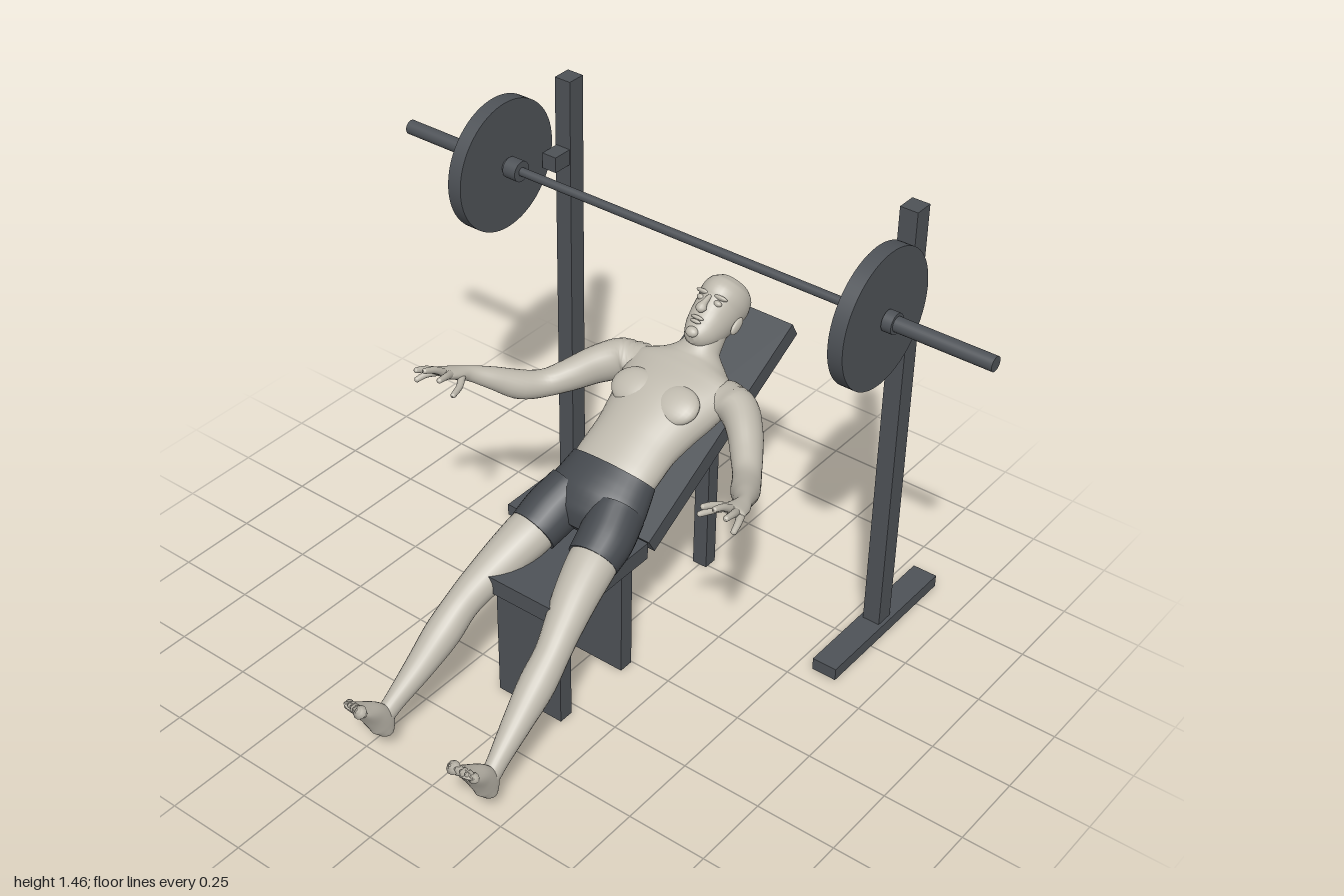
import * as THREE from 'three';

const V = (x, y, z) => new THREE.Vector3(x, y, z);
const mat = (name, color) => Object.assign(new THREE.MeshStandardMaterial({ color }), { name });

// Smooth body through sections [x, y, z, halfWidth, halfDepth], closed at both ends
function loft(sections, steps = 5, sides = 24) {
  const path = new THREE.CatmullRomCurve3(sections.map(s => V(s[0], s[1], s[2])));
  const size = new THREE.CatmullRomCurve3(sections.map(s => V(s[3], s[4], 0)));
  const rows = (sections.length - 1) * steps;
  const pos = [], idx = [];
  const ring = (u) => {
    const c = path.getPoint(u), r = size.getPoint(u), t = path.getTangent(u);
    const s = V(1, 0, 0).addScaledVector(t, -t.x).normalize();
    const n = t.clone().cross(s);
    for (let j = 0; j < sides; j++) {
      const a = j / sides * Math.PI * 2;
      const p = c.clone().addScaledVector(s, Math.cos(a) * r.x).addScaledVector(n, Math.sin(a) * r.y);
      pos.push(p.x, p.y, p.z);
    }
    return c;
  };
  for (let i = 0; i <= rows; i++) ring(i / rows);
  for (let i = 0; i < rows; i++) {
    for (let j = 0; j < sides; j++) {
      const a = i * sides + j, b = i * sides + (j + 1) % sides;
      idx.push(a, b, b + sides, a, b + sides, a + sides);
    }
  }
  for (const end of [0, 1]) {
    const base = pos.length / 3, c = ring(end);
    pos.push(c.x, c.y, c.z);
    for (let j = 0; j < sides; j++) {
      const a = base + j, b = base + (j + 1) % sides, m = base + sides;
      if (end) idx.push(m, a, b); else idx.push(m, b, a);
    }
  }
  const g = new THREE.BufferGeometry();
  g.setAttribute('position', new THREE.Float32BufferAttribute(pos, 3));
  g.setIndex(idx);
  g.computeVertexNormals();
  return g;
}

export function createModel() {
  const model = new THREE.Group();
  model.name = 'benchPressScene';
  const steel = mat('darkSteel', 0x4e5257);
  const cloth = mat('shortsCloth', 0x45494e);
  const skin = mat('skin', 0xbfbaae);

  const add = (parent, name, geo, material, x = 0, y = 0, z = 0) => {
    const m = new THREE.Mesh(geo, material);
    m.name = name;
    m.position.set(x, y, z);
    parent.add(m);
    return m;
  };
  const group = (name) => {
    const g = new THREE.Group();
    g.name = name;
    model.add(g);
    return g;
  };
  const box = (p, name, w, h, d, x, y, z) => add(p, name, new THREE.BoxGeometry(w, h, d), steel, x, y, z);
  const ball = (p, name, x, y, z, sx, sy, sz) => {
    const m = add(p, name, new THREE.SphereGeometry(1, 24, 16), skin, x, y, z);
    m.scale.set(sx, sy, sz);
    return m;
  };

  // Bench
  const bench = group('bench');
  box(bench, 'seat', 0.29, 0.055, 0.395, 0, 0.417, 0.167);
  box(bench, 'frontLegPanel', 0.23, 0.39, 0.048, 0, 0.195, 0.305);
  box(bench, 'rearLegPanel', 0.23, 0.39, 0.048, 0, 0.195, 0.027);
  box(bench, 'backrest', 0.29, 0.055, 0.785, 0, 0.616, -0.389).rotation.x = Math.PI / 6;
  box(bench, 'backrestPost', 0.05, 0.66, 0.046, 0, 0.33, -0.512);

  // Rack and barbell
  const rack = group('rack'), barbell = group('barbell');
  barbell.position.set(0, 1.257, -0.345);
  const rod = (name, r, len, x, sides = 32) => {
    const g = new THREE.CylinderGeometry(r, r, len, sides);
    g.rotateZ(Math.PI / 2);
    return add(barbell, name, g, steel, x);
  };
  rod('bar', 0.013, 1.2, 0);
  for (const s of [-1, 1]) {
    box(rack, 'upright', 0.056, 1.42, 0.06, s * 0.589, 0.75, -0.585);
    box(rack, 'foot', 0.08, 0.04, 0.55, s * 0.589, 0.02, -0.583);
    box(rack, 'hook', 0.05, 0.05, 0.065, s * 0.589, 1.215, -0.523);
    rod('sleeve', 0.022, 0.41, s * 0.795);
    rod('innerCollar', 0.032, 0.045, s * 0.592);
    rod('plate', 0.203, 0.046, s * 0.648, 64);
    rod('outerCollar', 0.031, 0.03, s * 0.69);
  }

  // Torso
  const man = group('recliningFigure');
  add(man, 'torso', loft([
    [0, 0.6, -0.02, 0.13, 0.07], [0, 0.625, -0.07, 0.138, 0.076], [0, 0.665, -0.15, 0.138, 0.081],
    [0, 0.7, -0.23, 0.152, 0.089], [0, 0.73, -0.3, 0.172, 0.092], [0, 0.768, -0.385, 0.19, 0.077],
    [0, 0.795, -0.43, 0.115, 0.064], [0, 0.83, -0.462, 0.06, 0.056], [0, 0.875, -0.505, 0.054, 0.055],
    [0, 0.9, -0.53, 0.05, 0.05]], 6, 36), skin);

  // Head
  const head = new THREE.Group();
  head.name = 'head';
  head.position.set(0, 0.905, -0.53);
  head.rotation.x = -50 * Math.PI / 180;
  man.add(head);
  add(head, 'skull', loft([
    [0, -0.108, 0.06, 0.012, 0.012], [0, -0.1, 0.055, 0.03, 0.03], [0, -0.07, 0.034, 0.052, 0.058],
    [0, -0.035, 0.016, 0.062, 0.076], [0, 0.015, 0, 0.068, 0.088], [0, 0.05, -0.005, 0.073, 0.094],
    [0, 0.085, -0.01, 0.066, 0.082], [0, 0.106, -0.012, 0.045, 0.056], [0, 0.115, -0.013, 0.008, 0.01]], 5, 32), skin);
  add(head, 'nose', loft([[0, 0.028, 0.084, 0.006, 0.006], [0, 0, 0.093, 0.01, 0.011],
    [0, -0.018, 0.096, 0.017, 0.015], [0, -0.028, 0.09, 0.008, 0.008]], 4, 16), skin);
  ball(head, 'upperLip', 0, -0.046, 0.088, 0.022, 0.006, 0.008);
  ball(head, 'lowerLip', 0, -0.058, 0.086, 0.018, 0.006, 0.008);
  ball(head, 'chin', 0, -0.088, 0.076, 0.02, 0.016, 0.014);
  for (const s of [-1, 1]) {
    ball(head, 'brow', s * 0.03, 0.034, 0.076, 0.024, 0.007, 0.012);
    ball(head, 'eye', s * 0.029, 0.016, 0.074, 0.014, 0.009, 0.01);
    ball(head, 'ear', s * 0.072, -0.005, -0.012, 0.009, 0.03, 0.018).rotation.x = -0.2;
  }

  // Shorts
  add(man, 'shortsSeat', loft([
    [0, 0.622, -0.058, 0.142, 0.08], [0, 0.592, -0.02, 0.152, 0.09], [0, 0.562, 0.02, 0.161, 0.094],
    [0, 0.525, 0.07, 0.14, 0.075], [0, 0.5, 0.1, 0.06, 0.035]], 5, 36), cloth);

  for (const s of [-1, 1]) {
    const limb = (name, sections, material = skin, steps = 5, sides = 24) =>
      add(man, name, loft(sections.map(([x, ...r]) => [x * s, ...r]), steps, sides), material);

    limb('shortsLeg', [[0.082, 0.56, 0.03, 0.08, 0.085], [0.1, 0.523, 0.105, 0.082, 0.08],
      [0.108, 0.492, 0.174, 0.077, 0.071]], cloth);

    // Chest muscle
    ball(man, 'chestMuscle', s * 0.073, 0.775, -0.245, 0.075, 0.062, 0.031).rotation.x = -Math.PI / 3;

    // Leg and foot
    limb('leg', [[0.105, 0.505, 0.14, 0.07, 0.066], [0.112, 0.49, 0.18, 0.073, 0.067],
      [0.13, 0.447, 0.27, 0.066, 0.062], [0.155, 0.388, 0.372, 0.054, 0.052], [0.166, 0.35, 0.425, 0.05, 0.05],
      [0.172, 0.3, 0.49, 0.052, 0.053], [0.18, 0.228, 0.59, 0.042, 0.042],
      [0.19, 0.162, 0.685, 0.029, 0.032], [0.195, 0.125, 0.735, 0.025, 0.03]]);
    limb('foot', [[0.192, 0.066, 0.728, 0.01, 0.01], [0.192, 0.08, 0.728, 0.025, 0.024],
      [0.193, 0.12, 0.737, 0.03, 0.042], [0.195, 0.165, 0.765, 0.034, 0.037],
      [0.197, 0.21, 0.808, 0.04, 0.021], [0.197, 0.238, 0.836, 0.038, 0.011]]);
    for (let i = 0; i < 5; i++) {
      const r = i ? 0.0075 : 0.011, x = 0.17 + i * 0.0145, d = i * 0.004;
      limb('toe', [[x, 0.225 - d, 0.825 - d, r, r], [x, 0.25 - d, 0.845 - d, r, r],
        [x, 0.26 - d, 0.852 - d, r * 0.3, r * 0.3]], skin, 3, 10);
    }

    // Arm and palm
    limb('arm', [[0.12, 0.77, -0.37, 0.04, 0.055], [0.2, 0.757, -0.365, 0.058, 0.068],
      [0.265, 0.735, -0.315, 0.052, 0.062], [0.32, 0.707, -0.25, 0.046, 0.05],
      [0.365, 0.692, -0.19, 0.041, 0.042], [0.403, 0.702, -0.13, 0.042, 0.044],
      [0.45, 0.742, -0.06, 0.032, 0.034], [0.488, 0.775, 0, 0.022, 0.023],
      [0.502, 0.792, 0.04, 0.03, 0.019], [0.512, 0.812, 0.085, 0.036, 0.014], [0.514, 0.816, 0.095, 0.028, 0.009]]);

    // Thumb and fingers: root, middle joint and tip
    const fingers = [
      [[0.485, 0.785, 0.035], [0.455, 0.785, 0.08], [0.435, 0.79, 0.13]],
      [[0.49, 0.812, 0.08], [0.472, 0.832, 0.12], [0.462, 0.843, 0.155]],
      [[0.506, 0.815, 0.085], [0.507, 0.845, 0.125], [0.508, 0.862, 0.165]],
      [[0.522, 0.812, 0.085], [0.537, 0.835, 0.125], [0.544, 0.848, 0.163]],
      [[0.534, 0.803, 0.08], [0.55, 0.806, 0.115], [0.559, 0.8, 0.148]]];
    for (const [a, b, c] of fingers) {
      const end = c.map((v, i) => v + (v - b[i]) * 0.12);
      limb('finger', [[...a, 0.012, 0.012], [...b, 0.01, 0.01], [...c, 0.008, 0.008],
        [...end, 0.002, 0.002]], skin, 4, 12);
    }
  }
  return model;
}
